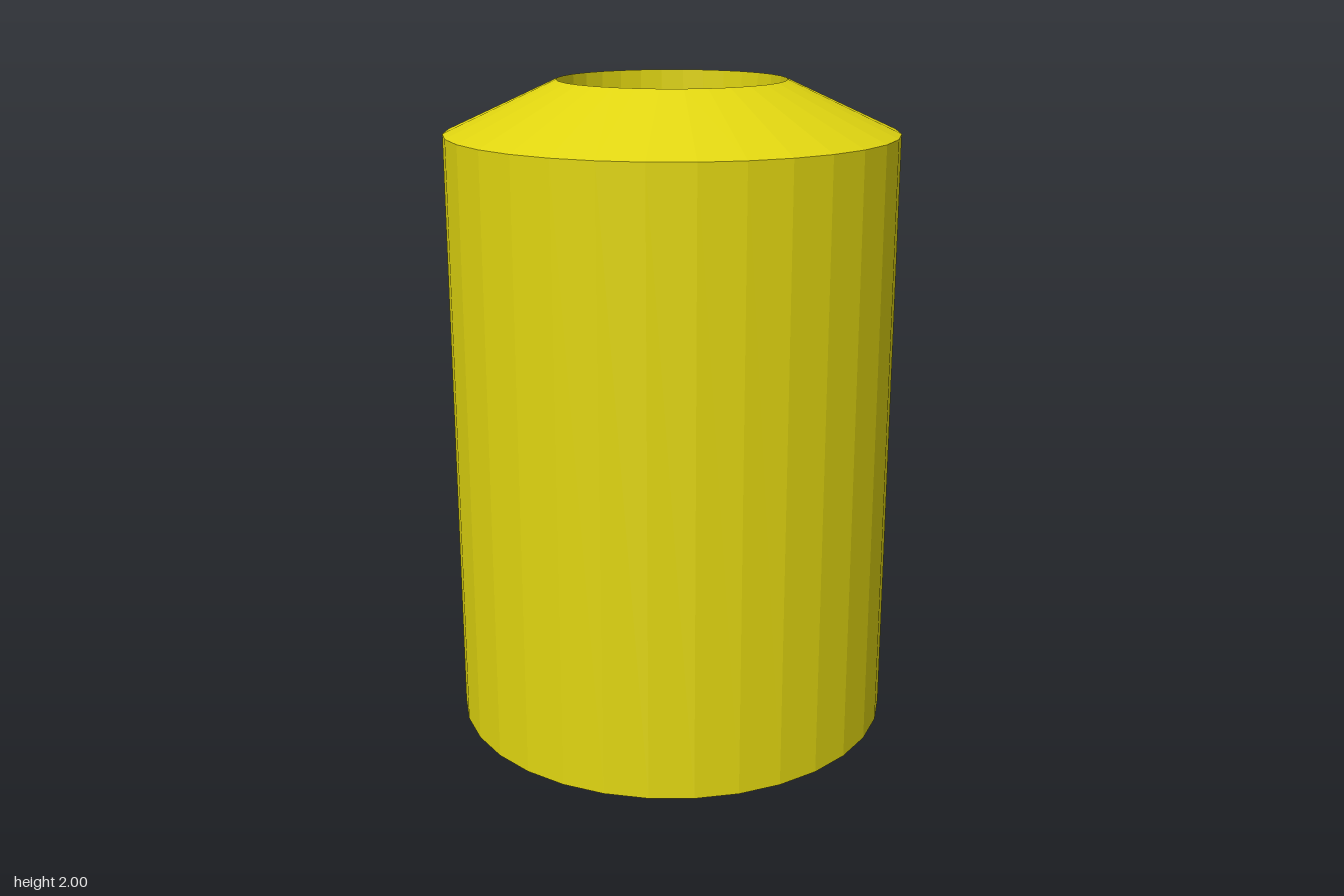
import * as THREE from 'three';

const SIDES = 32;
const OUTER = 0.68, INNER = 0.343;
const SHOULDER = 1.845, TOP = 2, FLOOR = 0.06;

export function createModel() {
  const group = new THREE.Group();
  const material = new THREE.MeshStandardMaterial({
    color: 0xe0d510,
    flatShading: true,
    side: THREE.DoubleSide,
  });

  // Turns a profile of [radius, height] pairs around the y axis
  const addTurned = (name, profile) => {
    const points = profile.map(([r, y]) => new THREE.Vector2(r, y));
    const mesh = new THREE.Mesh(new THREE.LatheGeometry(points, SIDES), material);
    mesh.name = name;
    group.add(mesh);
  };

  // Thin outer wall, open at the bottom
  addTurned('outerWall', [[OUTER, 0], [OUTER, SHOULDER]]);
  // Sloping shoulder up to the mouth
  addTurned('shoulder', [[OUTER, SHOULDER], [INNER, TOP]]);
  // Straight well hanging from the mouth
  addTurned('wellWall', [[INNER, TOP], [INNER, FLOOR]]);

  // Floor closing the well just above the base
  const floor = new THREE.Mesh(new THREE.CircleGeometry(INNER, SIDES), material);
  floor.name = 'wellFloor';
  floor.rotation.x = -Math.PI / 2;
  floor.position.y = FLOOR;
  group.add(floor);

  return group;
}
